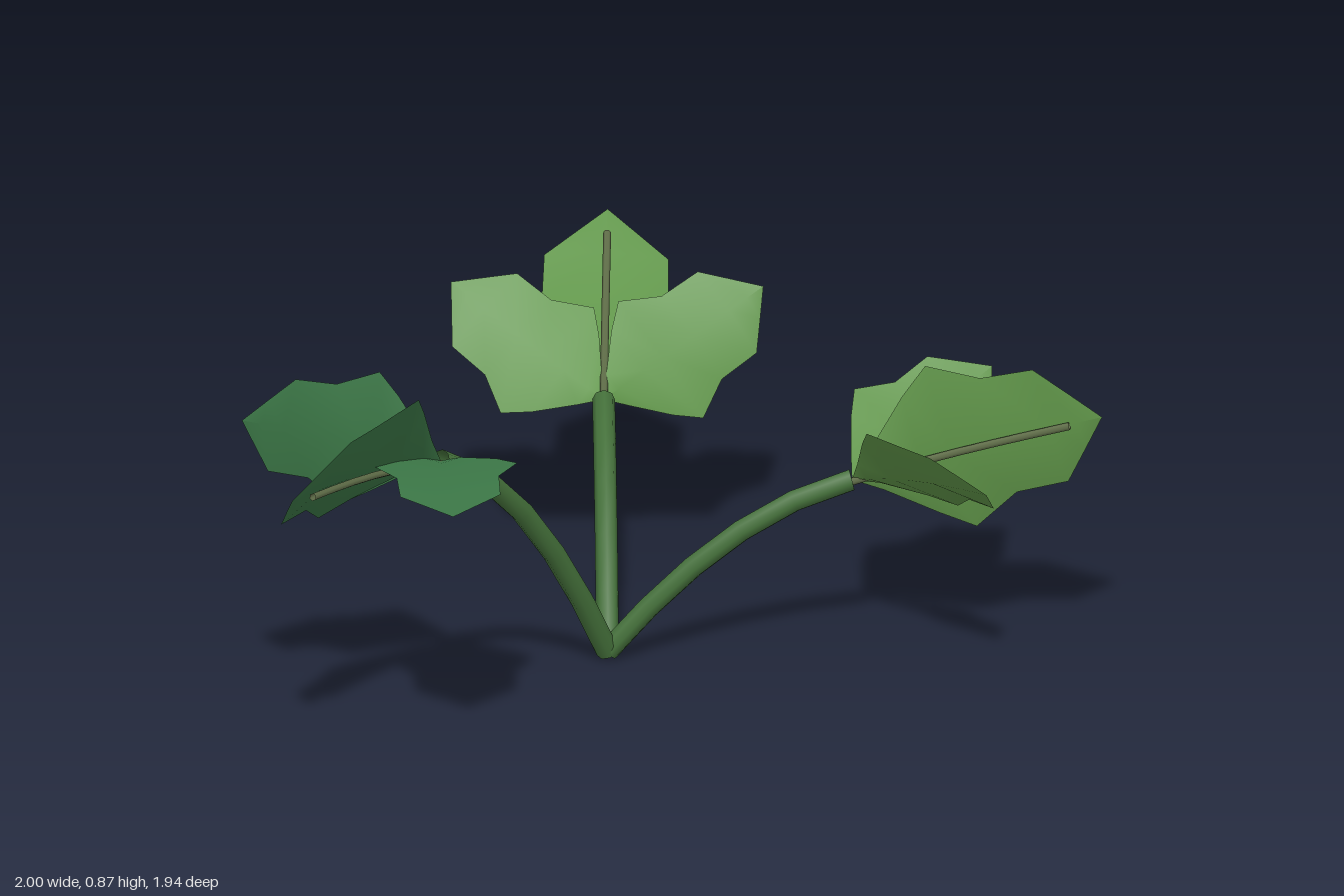
import * as THREE from 'three';

const V3 = (a) => new THREE.Vector3(...a);
const paint = (color) => new THREE.MeshStandardMaterial({ color, side: THREE.DoubleSide });
const stemPaint = paint(0x44703a), veinPaint = paint(0x5f6d48);
const root = V3([-0.125, 0.015, 0.115]);

// Half outline of a leaflet: [distance along midrib, half width], as fractions of its length
const OUTLINE = [[0, 0], [0.1, 0.09], [0.27, 0.25], [0.39, 0.345], [0.58, 0.245], [0.79, 0.24], [0.9, 0.115], [1, 0]];

// Leaflet frame: along the midrib, across the blade, and the face normal
function leafFrame(base, tip, across) {
  const along = tip.clone().sub(base);
  const length = along.length();
  along.normalize();
  const side = across.clone().addScaledVector(along, -across.dot(along)).normalize();
  const normal = along.clone().cross(side);
  return (u, v, n) => base.clone()
    .addScaledVector(along, u * length)
    .addScaledVector(side, v * length)
    .addScaledVector(normal, n * length);
}

// How far the blade edge droops behind the midrib
const droop = (u) => -0.09 * Math.sin(Math.PI * Math.pow(u, 0.8));

// Lobed blade: rows of three points (edge, midrib, edge)
function leafBlade(at) {
  const positions = [], index = [];
  OUTLINE.forEach(([u, w], row) => {
    for (const s of [-1, 0, 1]) {
      const p = at(u, s * w, droop(u) * (s ? 1 : 0.35));
      positions.push(p.x, p.y, p.z);
    }
    if (row === 0) return;
    for (const c of [0, 1]) {
      const a = (row - 1) * 3 + c, b = row * 3 + c;
      if (row > 1) index.push(a, b, a + 1);
      else index.push(a, b, b + 1);
      if (row > 1 && row < OUTLINE.length - 1) index.push(b, b + 1, a + 1);
    }
  });
  const g = new THREE.BufferGeometry();
  g.setAttribute('position', new THREE.Float32BufferAttribute(positions, 3));
  g.setIndex(index);
  g.computeVertexNormals();
  return g;
}

// Each branch: stem end and its leaflets (tip point, direction across the blade)
const BRANCHES = [
  {
    name: 'leftBranch', color: 0x5f9448, end: [0.435, 0.415, 0.115],
    leaves: [
      ['centreLeaf', [1.0, 0.585, 0.21], [-0.29, 0.95, 0]],
      ['frontLeaf', [0.71, 0.51, 0.49], [-0.22, 0.25, 0.14]],
      ['backLeaf', [0.78, 0.58, -0.155], [-0.25, 0.25, -0.137]],
    ],
  },
  {
    name: 'backBranch', color: 0x5f9448, end: [-0.085, 0.415, -0.45],
    leaves: [
      ['centreLeaf', [-0.03, 0.68, -0.976], [-1, 0, 0]],
      ['leftLeaf', [0.3, 0.597, -0.667], [-0.15, 0.193, -0.093]],
      ['rightLeaf', [-0.41, 0.605, -0.736], [-0.18, -0.16, 0.09]],
    ],
  },
  {
    name: 'frontBranch', color: 0x3c7847, end: [-0.54, 0.635, 0.49],
    leaves: [
      ['centreLeaf', [-0.92, 0.72, 0.944], [-0.225, -0.35, -0.14]],
      ['leftLeaf', [-0.553, 0.677, 0.965], [-1, 0, 0]],
      ['rightLeaf', [-1.0, 0.767, 0.54], [-0.28, -0.96, 0]],
    ],
  },
];

export function createModel() {
  const model = new THREE.Group();
  model.name = 'plant';
  for (const { name, color, end, leaves } of BRANCHES) {
    const branch = new THREE.Group();
    branch.name = name;
    const add = (part, geometry, material) => {
      const mesh = new THREE.Mesh(geometry, material);
      mesh.name = part;
      branch.add(mesh);
    };

    // Stem arching up and outward from the root
    const tip = V3(end);
    const bend = root.clone().lerp(tip, 0.5);
    bend.y += 0.33 * (tip.y - root.y);
    const curve = new THREE.QuadraticBezierCurve3(root, bend, tip);
    add('stem', new THREE.TubeGeometry(curve, 5, 0.026, 8), stemPaint);

    const leafPaint = paint(color);
    leaves.forEach(([part, leafTip, across], i) => {
      const at = leafFrame(tip, V3(leafTip), V3(across));
      add(part, leafBlade(at), leafPaint);
      // Raised vein on the middle leaflet only
      if (i === 0) {
        const points = [0, 0.3, 0.6, 0.87].map((u) => at(u, 0, droop(u) * 0.35 + 0.018));
        add('vein', new THREE.TubeGeometry(new THREE.CatmullRomCurve3(points), 6, 0.009, 6), veinPaint);
      }
    });
    model.add(branch);
  }
  return model;
}
